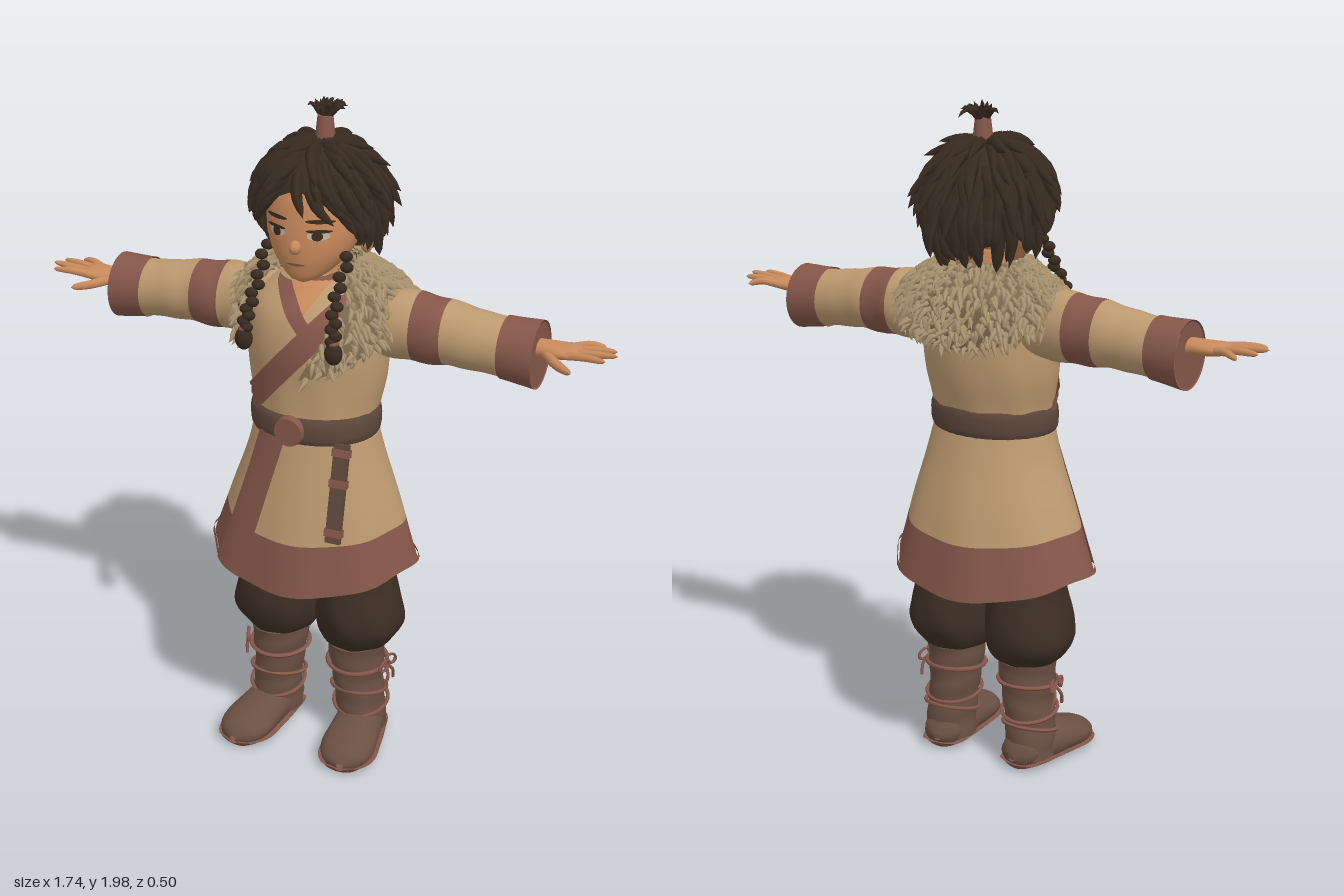
import * as THREE from 'three';
import { mergeGeometries } from 'three/addons/utils/BufferGeometryUtils.js';

const V = (x, y, z) => new THREE.Vector3(x, y, z);
const { lerp, clamp } = THREE.MathUtils;
const TAU = Math.PI * 2;
const material = (name, color) => Object.assign(new THREE.MeshStandardMaterial({ color, side: THREE.DoubleSide }), { name });
const M = {
  skin: material('skin', 0xc98a5c), hair: material('hair', 0x382b20), cloth: material('tan cloth', 0xbd9a70),
  trim: material('red brown trim', 0x86574a), fur: material('fur', 0xab9470), furShade: material('fur shade', 0x7d694e),
  leather: material('belt leather', 0x5d473c), trousers: material('dark trousers', 0x3d2e24),
  boot: material('boot leather', 0x6b5043), eye: material('eye white', 0xc9b49c),
};
let seed = 7;
const rand = (a = 0, b = 1) => { seed = (seed * 16807) % 2147483647; return a + (b - a) * seed / 2147483647; };

// Surface through fn(u, v); faces look outward when u runs round and v runs up
function grid(fn, nu, nv, closed = false) {
  const pos = [], idx = [], cols = closed ? nu : nu + 1;
  for (let j = 0; j <= nv; j++) for (let i = 0; i < cols; i++) pos.push(...fn(i / nu, j / nv).toArray());
  for (let j = 0; j < nv; j++) for (let i = 0; i < nu; i++) {
    const a = j * cols + i, b = j * cols + (i + 1) % cols;
    idx.push(a, b, b + cols, a, b + cols, a + cols);
  }
  const g = new THREE.BufferGeometry();
  g.setAttribute('position', new THREE.Float32BufferAttribute(pos, 3));
  g.setIndex(idx);
  g.computeVertexNormals();
  return g;
}

// Smooth interpolation of cross-section keys [y, rx, rz, cx, cz], ascending in y
function sample(keys, y) {
  const n = keys.length - 1;
  y = clamp(y, keys[0][0], keys[n][0]);
  let i = 0;
  while (i < n - 1 && y > keys[i + 1][0]) i++;
  const p = keys[i], q = keys[i + 1], o = keys[Math.max(i - 1, 0)], r = keys[Math.min(i + 2, n)];
  const h = q[0] - p[0], t = (y - p[0]) / h, t2 = t * t, t3 = t2 * t;
  return p.map((a, k) => a * (2 * t3 - 3 * t2 + 1) + q[k] * (3 * t2 - 2 * t3)
    + h * ((q[k] - o[k]) / (q[0] - o[0]) * (t3 - 2 * t2 + t) + (r[k] - p[k]) / (r[0] - p[0]) * (t3 - t2)));
}
const surface = (keys, fold = () => 0, shift = () => 0) => (a, y, lift = 0) => {
  const [, rx, rz, cx, cz] = sample(keys, y), f = 1 + fold(a, y);
  return V(cx + (rx * f + lift) * Math.sin(a), y + shift(a, y), cz + (rz * f + lift) * Math.cos(a));
};
const loft = (s, y0, y1, rows = 16, segs = 36, lift = 0) => grid((u, v) => s(u * TAU, lerp(y0, y1, v), lift), segs, rows, true);
const cap = (s, y) => grid((u, v) => s(u * TAU, y).lerp(s(0, y).lerp(s(Math.PI, y), 0.5), v), 36, 1, true);
// Thin plate lying on the front of a surface, between two x limits
const patch = (s, keys, y0, y1, left, right, lift = 0.005, rows = 14) => grid((u, v) => {
  const y = lerp(y0, y1, v), [, rx, , cx] = sample(keys, y), x = lerp(left(y), right(y), u);
  return s(Math.asin(clamp((x - cx) / rx, -1, 1)), y, lift);
}, 8, rows);

// Tube through points whose radius follows a rule
function taper(points, radius, sides = 6, steps = 6) {
  const curve = new THREE.CatmullRomCurve3(points), g = new THREE.TubeGeometry(curve, steps, 1, sides), p = g.attributes.position;
  for (let i = 0; i <= steps; i++) {
    const c = curve.getPointAt(i / steps), r = radius(i / steps);
    for (let j = 0; j <= sides; j++) {
      const k = i * (sides + 1) + j, v = V().fromBufferAttribute(p, k).sub(c).multiplyScalar(r).add(c);
      p.setXYZ(k, v.x, v.y, v.z);
    }
  }
  return g;
}
const lock = (pts, r, sides = 5, steps = 5) => taper(pts, t => r * Math.pow(1 - t, 0.7) * (0.65 + 0.7 * t), sides, steps);
const ball = (x, y, z, sx, sy = sx, sz = sx) => new THREE.SphereGeometry(1, 14, 10).scale(sx, sy, sz).translate(x, y, z);
const ring = (r, tube, y, x, z, tilt = 0) => new THREE.TorusGeometry(r, tube, 6, 28).rotateX(Math.PI / 2 + tilt).translate(x, y, z);
function mirror(geo) {
  const g = geo.clone().scale(-1, 1, 1), a = g.index.array;
  for (let i = 0; i < a.length; i += 3) [a[i], a[i + 1]] = [a[i + 1], a[i]];
  g.computeVertexNormals();
  return g;
}

export function createModel() {
  const model = new THREE.Group();
  model.name = 'tunic figure';
  const add = (name, geo, mat) => { const m = new THREE.Mesh(geo, mat); m.name = name; model.add(m); };
  const pair = (name, geo, mat) => { add('left ' + name, geo, mat); add('right ' + name, mirror(geo), mat); };

  // Head and face
  const headKeys = [[1.5, .015, .015, 0, .105], [1.512, .045, .05, 0, .09], [1.54, .08, .085, 0, .065], [1.58, .112, .112, 0, .045],
    [1.63, .133, .132, 0, .025], [1.69, .142, .142, 0, .008], [1.75, .136, .138, 0, -.003], [1.81, .1, .1, 0, -.01], [1.84, .02, .02, 0, -.01]];
  const head = surface(headKeys);
  add('head', loft(head, 1.5, 1.84, 28), M.skin);
  add('neck', new THREE.CylinderGeometry(.058, .065, .14, 20).translate(0, 1.49, -.01), M.skin);
  add('nose', ball(0, 1.612, .157, .017, .02, .024), M.skin);
  pair('ear', ball(.142, 1.605, -.005, .018, .04, .027), M.skin);
  const oval = (cx, cy, w, h, lift) => patch(head, headKeys, cy - h, cy + h,
    y => cx - w * Math.sqrt(Math.max(0, 1 - ((y - cy) / h) ** 2)), y => cx + w * Math.sqrt(Math.max(0, 1 - ((y - cy) / h) ** 2)), lift, 10);
  pair('eye', oval(.06, 1.648, .028, .013, .003), M.eye);
  pair('iris', oval(.058, 1.648, .014, .0128, .005), M.hair);
  pair('upper lash', oval(.061, 1.662, .032, .005, .006), M.hair);
  pair('eyebrow', oval(.062, 1.688, .036, .006, .005), M.hair);
  add('mouth', oval(0, 1.562, .026, .004, .004), M.trim);

  // Hair: a close cap covered by layered locks that flare at the tips
  const scalp = (a, t, o = 0) => V(Math.sin(t) * Math.sin(a) * (.165 + o), 1.69 + Math.cos(t) * (.175 + o), -.015 + Math.sin(t) * Math.cos(a) * (.18 + o));
  const hairline = a => 1.1 + 1.15 * Math.pow((1 - Math.cos(a)) / 2, .6);
  add('hair cap', grid((u, v) => scalp(u * TAU, hairline(u * TAU) * (1 - v)), 36, 14, true), M.hair);
  const locks = [];
  [.1, .35, .6, .85, 1.1, 1.35, 1.6, 1.85].forEach((t0, k) => {
    const n = 9 + Math.round(15 * Math.sin(t0));
    for (let i = 0; i < n; i++) {
      const a = (i + rand(.1, .9)) / n * TAU, limit = hairline(a);
      if (t0 > limit - .05) continue;
      const t1 = Math.min(t0 + rand(.6, .85), limit + rand(.25, .45)), front = Math.max(0, Math.cos(a));
      const side = Math.sin(a + .25) > 0 ? 1 : -1, turn = side * .28 * front + rand(-.15, .15), flare = rand(.015, .06) * (1 - .4 * front);
      locks.push(lock([scalp(a, t0, -.005), scalp(a + turn * .4, lerp(t0, t1, .5), .014), scalp(a + turn, t1, flare)], rand(.022, .033)));
    }
  });
  add('hair locks', mergeGeometries(locks), M.hair);

  // Tied topknot
  add('topknot band', new THREE.CylinderGeometry(.022, .03, .07, 14).translate(0, 1.895, -.04), M.trim);
  const tuft = [];
  for (let i = 0; i < 16; i++) {
    const a = i * 2.4, s = .02 + .05 * ((i * 7) % 16) / 16, x = Math.sin(a) * s, z = -.065 + Math.cos(a) * s;
    const y = 2 - .055 * s / .07 - rand(0, .015);
    tuft.push(lock([V(0, 1.915, -.04), V(x * .7, 1.955, lerp(-.04, z, .6)), V(x, y, z)], .014));
  }
  add('topknot tuft', mergeGeometries(tuft), M.hair);

  // Braids in front of the shoulders
  const braidPath = new THREE.CatmullRomCurve3([V(.125, 1.58, .085), V(.12, 1.5, .145), V(.128, 1.43, .19), V(.135, 1.375, .205)]);
  const beads = [];
  for (let i = 0; i < 11; i++) {
    const p = braidPath.getPoint(i / 10);
    beads.push(ball(p.x + (i % 2 ? .006 : -.006), p.y, p.z, .019, .015, .017));
  }
  pair('braid', mergeGeometries(beads), M.hair);
  pair('braid tie', ball(.135, 1.372, .206, .017, .009, .017), M.trim);
  pair('braid end', ball(.136, 1.342, .208, .026, .033, .022), M.hair);

  // Upper tunic with crossed lapels
  const bodyKeys = [[1.03, .178, .143, 0, .022], [1.11, .186, .15, 0, .015], [1.2, .203, .162, 0, .006], [1.3, .208, .17, 0, .003],
    [1.4, .2, .155, 0, -.005], [1.46, .15, .11, 0, -.015], [1.5, .07, .07, 0, -.015]];
  const body = surface(bodyKeys, (a, y) => .012 * Math.sin(9 * a + 14 * y) * clamp((1.35 - y) * 4, 0, 1));
  add('upper tunic', loft(body, 1.03, 1.5, 20, 54), M.cloth);
  add('neck opening', patch(body, bodyKeys, 1.39, 1.495, y => -(y - 1.38) * .55, y => (y - 1.38) * .55, .005), M.skin);
  const strip = (slope, x0, w) => patch(body, bodyKeys, slope > 0 ? 1.1 : 1.36, 1.48,
    y => x0 + slope * (y - 1.2) - w, y => x0 + slope * (y - 1.2) + w, slope > 0 ? .009 : .007);
  add('under lapel', strip(-.95, .19, .028), M.trim);
  add('crossed lapel', strip(.86, -.085, .046), M.trim);
  add('inner collar', ring(.076, .016, 1.495, 0, -.015, .18), M.trim);

  // Fur mantle, open at the front
  const furKeys = [[1.2, .215, .195, 0, .01], [1.27, .235, .197, 0, .005], [1.38, .25, .192, 0, -.017], [1.46, .23, .16, 0, -.035], [1.54, .105, .09, 0, -.02]];
  const furSurface = surface(furKeys);
  const furPoint = (u, v, lift = 0) => {
    const a = lerp(lerp(.12, .75, v), TAU - lerp(.68, .75, v), u), c = Math.cos(a);
    const low = 1.43 - Math.abs(c) * (c < 0 ? .13 : a < 2 ? .19 : .165);
    return furSurface(a, lerp(low, 1.535, v), lift);
  };
  add('fur mantle', grid(furPoint, 48, 10), M.furShade);
  const tufts = [];
  for (let j = 0; j < 13; j++) for (let i = 0; i < 62; i++) {
    const u = (i + rand()) / 62, v = (j + rand()) / 13, p = furPoint(u, v), out = furPoint(u, v, .02).sub(p);
    const end = p.clone().add(out).add(V(rand(-.022, .022), rand(-.04, -.012), rand(-.022, .022)));
    tufts.push(lock([p.clone().addScaledVector(out, -.1), p.clone().addScaledVector(out, .7), end], rand(.01, .015), 5, 3));
  }
  add('fur tufts', mergeGeometries(tufts), M.fur);

  // Sleeves, built upright and laid along x
  const sleeveKeys = [[.12, .1, .085, -1.37, -.02], [.3, .1, .09, -1.365, -.02], [.42, .09, .086, -1.36, -.02],
    [.54, .084, .082, -1.348, -.022], [.65, .092, .087, -1.34, -.024]];
  const sleeve = surface(sleeveKeys, (a, y) => .025 * Math.sin(55 * y + 2 * Math.sin(a + 1)) * clamp((.54 - y) * 8, 0, 1));
  const lay = g => g.rotateZ(-Math.PI / 2).scale(1, 1, 1);
  pair('upper sleeve', lay(loft(sleeve, .12, .295, 12)), M.cloth);
  pair('sleeve band', lay(loft(sleeve, .295, .385, 8)), M.trim);
  pair('lower sleeve', lay(loft(sleeve, .385, .56, 12)), M.cloth);
  pair('cuff', lay(loft(sleeve, .55, .65, 6, 36, .005)), M.trim);
  pair('cuff lining', lay(cap(sleeve, .648)), M.trim);

  // Hands with spread fingers
  const palm = surface([[.6, .03, .035, -1.36, -.018], [.66, .024, .034, -1.365, -.018], [.71, .02, .046, -1.367, -.016], [.75, .016, .048, -1.37, -.016], [.772, .006, .035, -1.37, -.016]]);
  const digit = (pts, r) => taper(pts, t => r * (1 - .25 * t) * Math.sqrt(Math.max(0, 1 - Math.pow(t, 8))), 8, 12);
  const digits = [[.018, .85, 1.377, .036], [-.005, .872, 1.382, -.003], [-.028, .86, 1.377, -.045], [-.05, .818, 1.366, -.086]]
    .map(([z, x, y, tz]) => digit([V(.735, 1.369, z), V(lerp(.735, x, .5), 1.376, lerp(z, tz, .5)), V(x, y, tz)], .0125));
  digits.push(digit([V(.67, 1.362, .0), V(.715, 1.352, .045), V(.768, 1.345, .08)], .016));
  pair('palm', lay(loft(palm, .6, .772, 12, 20)), M.skin);
  pair('fingers', mergeGeometries(digits), M.skin);

  // Flared tunic skirt with hem and front overlap
  const skirtKeys = [[.6, .312, .235, -.012, .005], [.8, .256, .2, -.005, .01], [.95, .208, .168, 0, .017], [1.06, .18, .146, 0, .022]];
  const drop = y => clamp((1.06 - y) / .46, 0, 1);
  const skirt = surface(skirtKeys, (a, y) => .022 * drop(y) * Math.sin(8 * a + 1), (a, y) => -.03 * drop(y) ** 2 * Math.cos(2 * a));
  add('skirt', loft(skirt, .74, 1.06, 14, 60), M.cloth);
  add('skirt hem', loft(skirt, .6, .74, 8, 60), M.trim);
  add('hem edge', loft(skirt, .6, .615, 1, 60, .007), M.trim);
  const edge = y => lerp(-.205, -.065, Math.pow((y - .6) / .46, .9));
  add('skirt overlap', patch(skirt, skirtKeys, .6, 1.05, y => edge(y) - .045, y => edge(y) + .045, .009), M.trim);

  // Belt, round clasp and hanging strap
  const belt = surface([[1.03, .186, .153, 0, .022], [1.045, .193, .16, 0, .022], [1.095, .193, .16, 0, .02], [1.11, .186, .153, 0, .018]]);
  add('belt', loft(belt, 1.03, 1.11, 8), M.leather);
  add('belt clasp', new THREE.CylinderGeometry(.042, .046, .022, 28).rotateX(Math.PI / 2).translate(-.01, 1.07, .185), M.trim);
  const hang = (w, h, d, y) => new THREE.BoxGeometry(w, h, d).translate(0, y, 0).rotateX(-.23).translate(.137, .9, .178);
  add('hanging strap', hang(.045, .29, .016, 0), M.leather);
  add('strap loops', mergeGeometries([.12, .03, -.115].map(y => hang(.052, .022, .024, y))), M.trim);

  // Baggy trousers
  const legKeys = [[.325, .07, .08, .125, .005], [.345, .105, .1, .127, .002], [.4, .13, .135, .135, 0], [.46, .126, .145, .133, .003], [.56, .108, .135, .125, .003], [.72, .1, .12, .115, 0]];
  const leg = surface(legKeys, (a, y) => .025 * Math.sin(7 * a + 18 * y) * clamp((.58 - y) * 6, 0, 1));
  pair('trouser leg', loft(leg, .325, .72, 24, 44), M.trousers);

  // Boots: shaft, toed-out foot, sole and laces
  const shaft = surface([[.03, .075, .08, .143, -.005], [.12, .073, .082, .14, .002], [.2, .074, .084, .132, .004], [.29, .083, .09, .127, .005], [.34, .087, .096, .125, .005]],
    (a, y) => .022 * Math.sin(75 * y + 1.5 * Math.sin(a)));
  pair('boot shaft', loft(shaft, .03, .335, 26, 30), M.boot);
  pair('boot top', cap(shaft, .335), M.boot);
  const footKeys = [[-.095, .012, .01, 0, -.04], [-.08, .05, .04, 0, -.05], [0, .068, .062, 0, -.055], [.1, .078, .055, 0, -.05], [.18, .08, .042, 0, -.042], [.235, .05, .028, 0, -.035], [.25, .01, .008, 0, -.03]];
  const foot = (lift, low, high) => {
    const s = surface(footKeys);
    return grid((u, v) => {
      const p = s(u * TAU, lerp(-.095, .25, v), lift);
      return V(p.x, clamp(-p.z, low, high), p.y * (1 + lift));
    }, 28, 22, true).rotateY(.13).translate(.145, 0, 0);
  };
  pair('boot foot', foot(0, .01, .2), M.boot);
  pair('boot sole', foot(.007, 0, .022), M.trim);
  pair('boot laces', mergeGeometries([ring(.083, .006, .12, .14, 0, .25), ring(.084, .006, .17, .135, .004, -.2), ring(.09, .007, .262, .129, .005, .08)]), M.trim);
  const loop = (y, z, turn) => new THREE.TorusGeometry(.022, .005, 6, 16).scale(1, .7, 1).rotateZ(turn).rotateY(Math.PI / 2.6).translate(.228, y, z);
  const tail = z => taper([V(.218, .262, .005), V(.236, .235, z * .6), V(.232, .2, z)], () => .005);
  pair('lace bow', mergeGeometries([loop(.268, .028, .4), loop(.268, -.02, -.4), tail(.03), tail(-.03)]), M.trim);
  return model;
}
